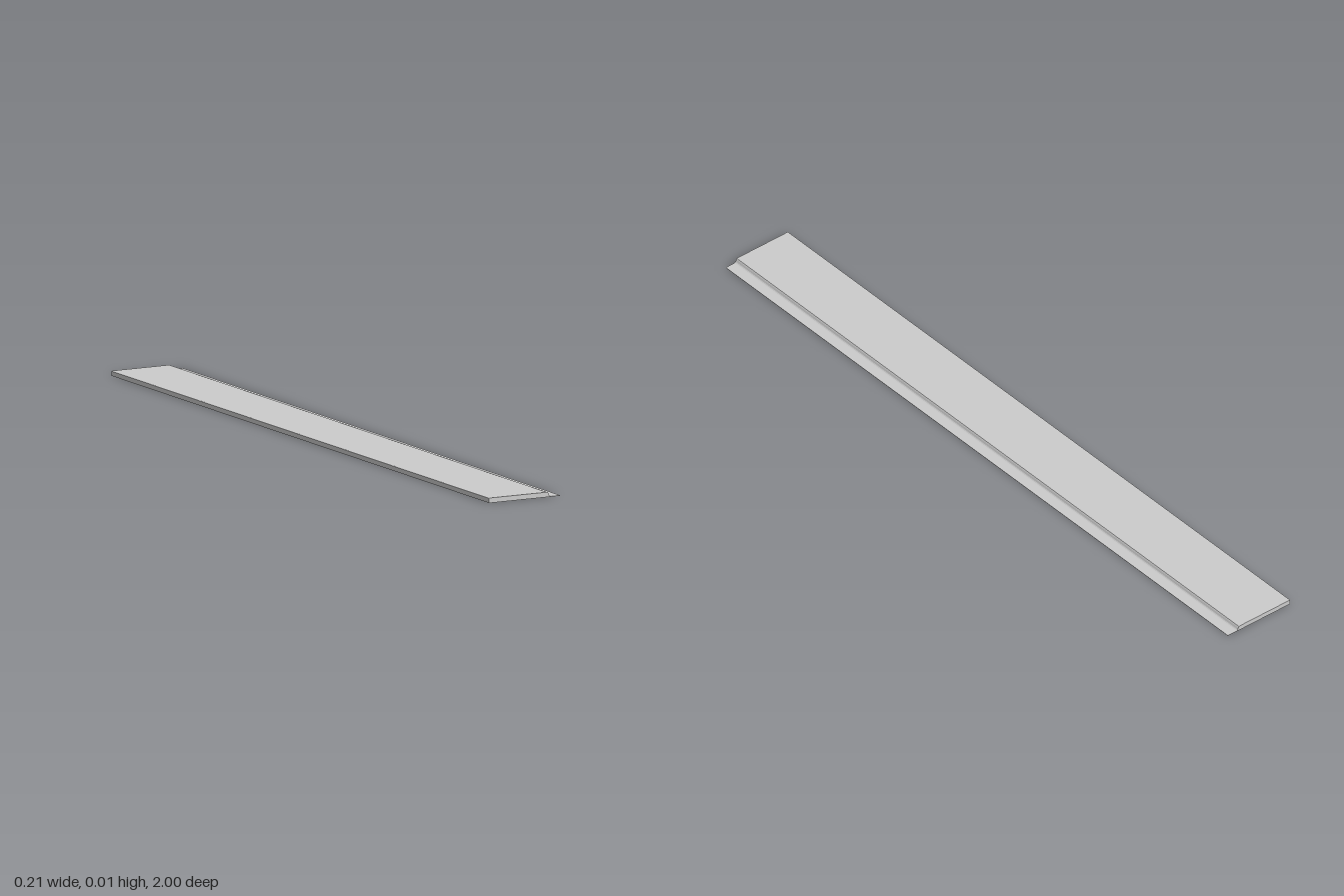
import * as THREE from 'three';

const SECTIONS = 12;
const LENGTH = 2 / SECTIONS;

// Closed outline in the x-y plane, swept along z
function sweep(outline) {
  const shape = new THREE.Shape(outline.map(([x, y]) => new THREE.Vector2(x, y)));
  return new THREE.ExtrudeGeometry(shape, { depth: LENGTH, bevelEnabled: false });
}

export function createModel() {
  const model = new THREE.Group();
  model.name = 'pavement';
  const material = new THREE.MeshStandardMaterial({ color: 0xcccccc });

  const parts = {
    // Walking slab with a slightly eased outer edge
    slab: sweep([[-0.105, 0], [0.055, 0], [0.055, 0.013], [-0.103, 0.013], [-0.105, 0.012]]),
    // Rounded kerb running down into a thin gutter
    kerb: sweep([
      [0.055, 0], [0.103, 0], [0.103, 0.001], [0.075, 0.001], [0.072, 0.002],
      [0.070, 0.004], [0.068, 0.009], [0.066, 0.012], [0.062, 0.013], [0.055, 0.013],
    ]),
  };

  // Repeat the section along the length
  for (let i = 0; i < SECTIONS; i++) {
    const section = new THREE.Group();
    section.name = `section${i + 1}`;
    section.position.z = -1 + i * LENGTH;
    for (const [name, geometry] of Object.entries(parts)) {
      const mesh = new THREE.Mesh(geometry, material);
      mesh.name = name;
      section.add(mesh);
    }
    model.add(section);
  }
  return model;
}
